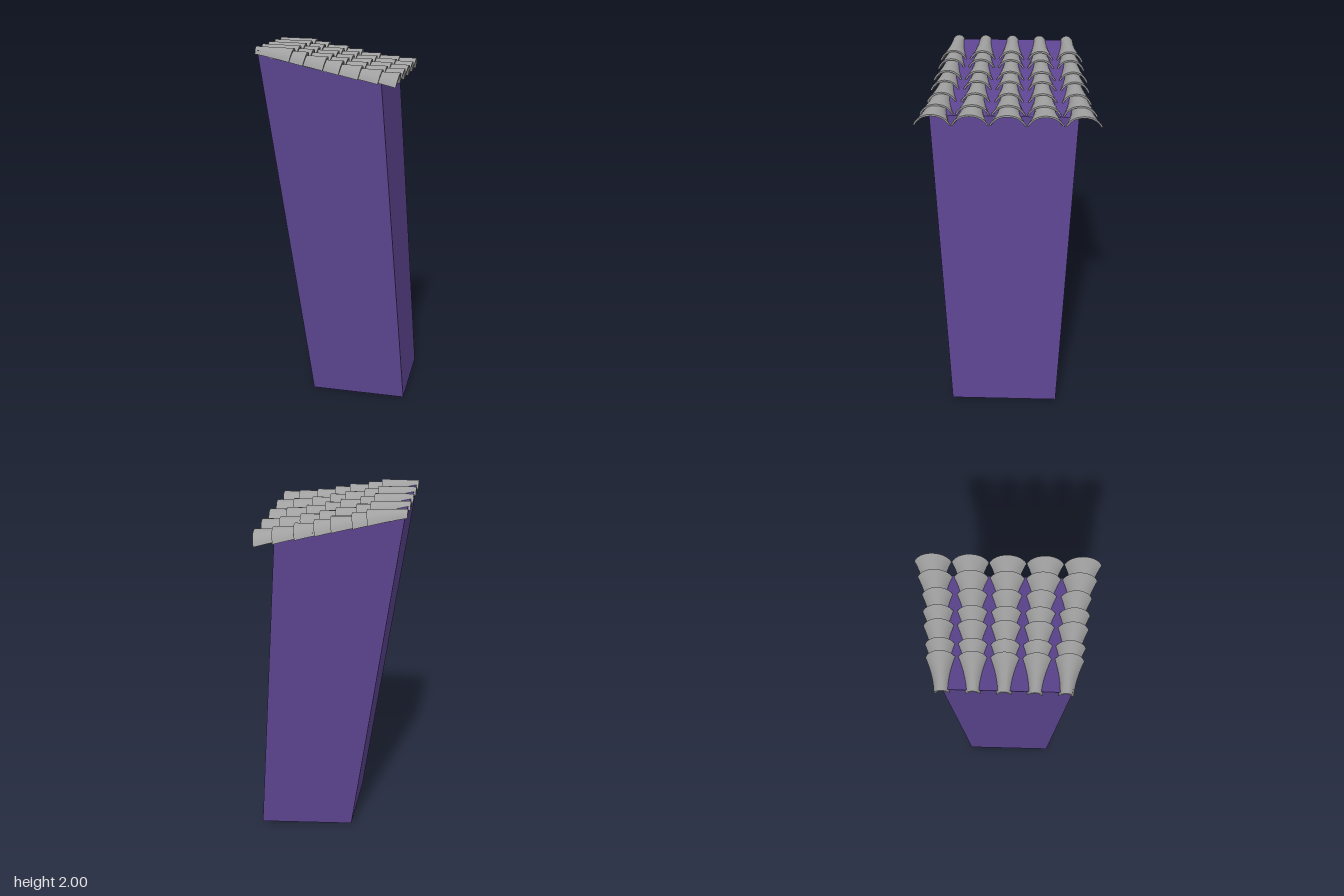
import * as THREE from 'three';
import { toCreasedNormals } from 'three/addons/utils/BufferGeometryUtils.js';

const purple = new THREE.MeshStandardMaterial({ color: 0x5c4590, side: THREE.DoubleSide });
purple.name = 'purple plaster';
const grey = new THREE.MeshStandardMaterial({ color: 0xa0a0a0, side: THREE.DoubleSide });
grey.name = 'grey tile';

function fromTriangles(points, index) {
  const g = new THREE.BufferGeometry();
  g.setAttribute('position', new THREE.Float32BufferAttribute(points.flat(), 3));
  g.setIndex(index);
  return g;
}

// Leaning tapered block, open underneath, with a sloping top
function blockGeometry() {
  const bottom = [[-0.115, 0, 0.27], [0.42, 0, 0.33], [0.42, 0, -0.29], [-0.115, 0, -0.23]];
  const top = [[-0.41, 1.98, 0.34], [0.29, 1.825, 0.42], [0.29, 1.825, -0.38], [-0.41, 1.98, -0.31]];
  const index = [4, 5, 6, 4, 6, 7];
  for (let i = 0; i < 4; i++) {
    const j = (i + 1) % 4;
    index.push(i, j, j + 4, i, j + 4, i + 4);
  }
  const g = fromTriangles([...bottom, ...top], index).toNonIndexed();
  g.computeVertexNormals();
  return g;
}

// Flared arched shell: cross-sections run from the narrow end to the wide end
function tileGeometry({ x, length, z0, z1, halfWidth, top0, top1 }) {
  const steps = 10, arc = 12, loop = 2 * (arc + 1), thick = 0.01, a0 = 0.3;
  const points = [], index = [];
  for (let i = 0; i <= steps; i++) {
    const t = i / steps, flare = 0.5 + 0.5 * t ** 1.9;
    const w = halfWidth * flare, h = 0.04 + 0.03 * t;
    const cz = THREE.MathUtils.lerp(z0, z1, t), top = THREE.MathUtils.lerp(top0, top1, t);
    for (let j = 0; j < loop; j++) {
      const inner = j > arc;
      const a = a0 + (Math.PI - 2 * a0) * (inner ? loop - 1 - j : j) / arc;
      const rise = (Math.sin(a) - Math.sin(a0)) / (1 - Math.sin(a0));
      const drop = h * (1 - rise) * (inner ? 1 - thick / h : 1) + (inner ? thick : 0);
      points.push([
        x - length * (1 - t) - 0.015 * (1 - rise) * t,
        top - drop,
        cz - (w - (inner ? thick : 0)) * Math.cos(a) / Math.cos(a0),
      ]);
    }
  }
  for (let i = 0; i < steps; i++) {
    for (let j = 0; j < loop; j++) {
      const k = (j + 1) % loop, a = i * loop + j, b = i * loop + k;
      index.push(a, b, b + loop, a, b + loop, a + loop);
    }
  }
  // End rims
  const e = steps * loop;
  for (let j = 0; j < arc; j++) {
    const p = loop - 1 - j;
    index.push(e + j, e + j + 1, e + p - 1, e + j, e + p - 1, e + p);
    index.push(j, p - 1, j + 1, j, p, p - 1);
  }
  return toCreasedNormals(fromTriangles(points, index), 0.7);
}

export function createModel() {
  const model = new THREE.Group();
  model.name = 'tiledPillar';

  const block = new THREE.Mesh(blockGeometry(), purple);
  block.name = 'pillarBlock';
  model.add(block);

  // Courses: wide-end x, top height, row spacing, half width
  const courses = [
    [-0.205, 1.993, 0.163, 0.078], [-0.127, 1.975, 0.166, 0.080],
    [-0.015, 1.953, 0.173, 0.082], [0.073, 1.933, 0.177, 0.083],
    [0.18, 1.91, 0.182, 0.084], [0.292, 1.892, 0.192, 0.094],
    [0.391, 1.879, 0.201, 0.1],
  ];
  for (let row = -2; row <= 2; row++) {
    const tiles = new THREE.Group();
    tiles.name = `tileRow${row + 3}`;
    courses.forEach(([x, top, spacing, halfWidth], i) => {
      const tile = new THREE.Mesh(tileGeometry({
        x, length: 0.217, halfWidth,
        z0: -0.003 + row * (spacing - 0.008), z1: -0.003 + row * spacing,
        top0: top + 0.007, top1: top,
      }), grey);
      tile.name = `roofTile${i + 1}`;
      tiles.add(tile);
    });
    model.add(tiles);
  }
  return model;
}
